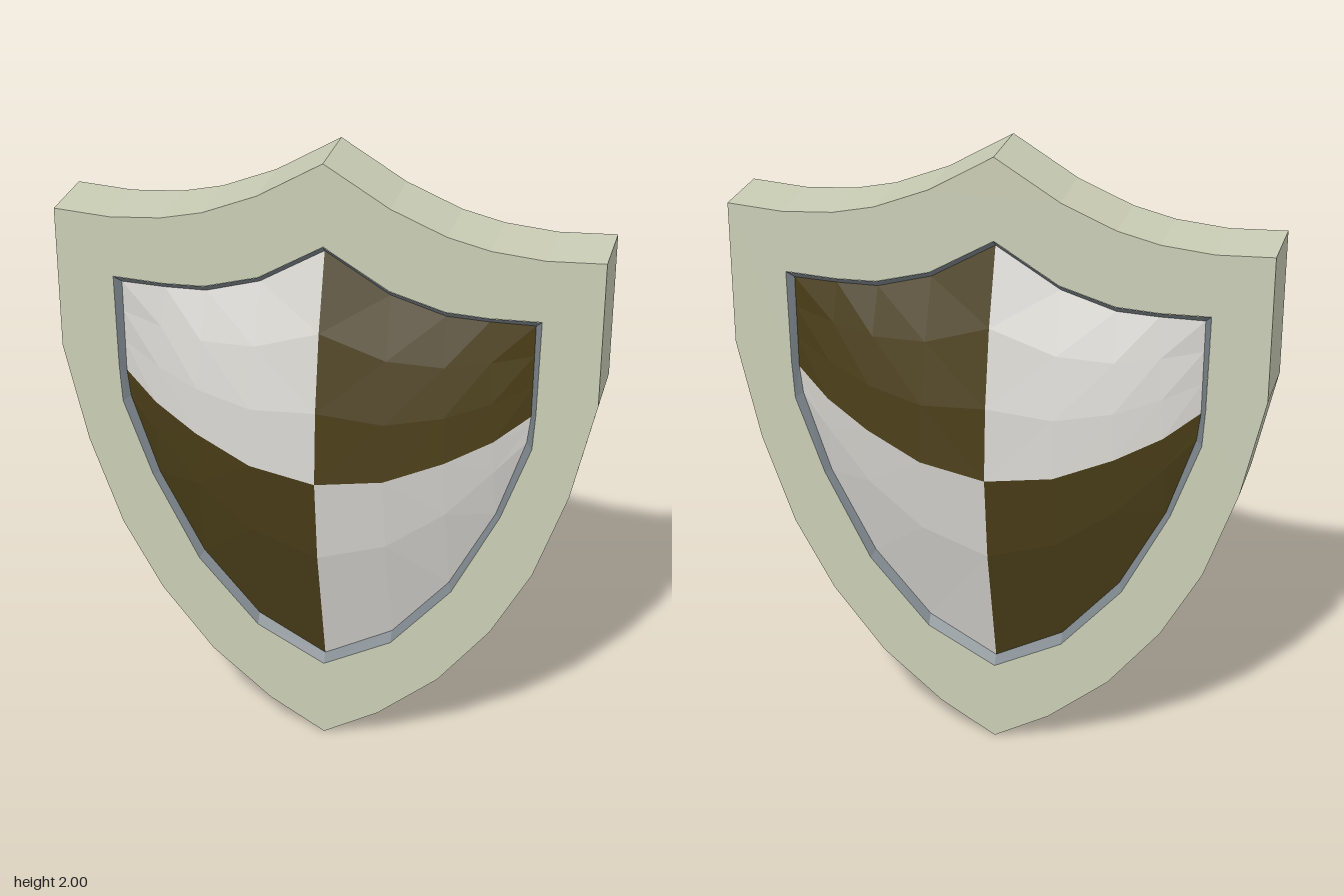
import * as THREE from 'three';

const HALF_DEPTH = 0.11; // half thickness of the frame
const EDGE_Z = 0.09;     // where the panels meet the rim
const DOME = 0.135;      // how far the panels bulge beyond their edge

// Right halves of the outlines, from top centre round to bottom centre
const frameEdge = [[0, 2], [0.2, 1.88], [0.37, 1.81], [0.5, 1.78], [0.66, 1.767], [0.835, 1.777],
  [0.835, 1.32], [0.765, 1], [0.665, 0.71], [0.54, 0.48], [0.375, 0.27], [0.18, 0.105], [0, 0]];
const holeEdge = [[0, 1.74], [0.2, 1.62], [0.37, 1.572], [0.5, 1.567], [0.657, 1.573],
  [0.652, 1.27], [0.645, 1.15], [0.557, 0.9], [0.412, 0.61], [0.22, 0.387], [0, 0.27]];
const panelTop = [[0, 1.72], [0.2, 1.6], [0.37, 1.55], [0.5, 1.547], [0.637, 1.55]];
const panelMiddle = [[0, 1], [0.21, 1.03], [0.39, 1.1], [0.53, 1.17], [0.635, 1.25]];
const panelBottom = [[0, 0.3], [0.22, 0.42], [0.4, 0.63], [0.54, 0.9], [0.625, 1.16]];
const panelEdge = [...panelTop, panelMiddle[4], ...[...panelBottom].reverse()];

const paint = (color) => new THREE.MeshStandardMaterial({ color, flatShading: true });

// Completes a half outline with its mirror image
const mirrorLoop = (half) => [...half, ...half.slice(1, -1).reverse().map(([x, y]) => [-x, y])];

// Faceted surface through rows of [x, y, z] points
function surface(rows, flip) {
  const pos = [];
  for (let j = 0; j < rows.length - 1; j++) {
    for (let i = 0; i < rows[j].length - 1; i++) {
      const [a, b, c, d] = [rows[j][i], rows[j][i + 1], rows[j + 1][i + 1], rows[j + 1][i]];
      pos.push(...(flip ? [a, c, b, a, d, c] : [a, b, c, a, c, d]).flat());
    }
  }
  const geo = new THREE.BufferGeometry();
  geo.setAttribute('position', new THREE.Float32BufferAttribute(pos, 3));
  geo.computeVertexNormals();
  return geo;
}

// One domed quarter: sx picks the side, sz the front or back
function quarter(edge, steps, power, upper, sx, sz) {
  const rows = steps.map((v) => panelMiddle.map(([mx, my], i) => {
    const u = mx / 0.635;
    const z = EDGE_Z + DOME * (1 - u * u) * (1 - v ** power);
    return [sx * THREE.MathUtils.lerp(mx, edge[i][0], v), THREE.MathUtils.lerp(my, edge[i][1], v), sz * z];
  }));
  return surface(rows, sx * sz * (upper ? 1 : -1) < 0);
}

export function createModel() {
  const model = new THREE.Group();
  model.name = 'shield';
  const cream = paint(0xcacdb5), steel = paint(0x7d868c), white = paint(0xd6d4cf), brown = paint(0x4a3e18);

  const add = (name, geo, mat) => {
    const mesh = new THREE.Mesh(geo, mat);
    mesh.name = name;
    model.add(mesh);
  };

  // Thick frame with a shield-shaped opening
  const toPoints = (half) => mirrorLoop(half).map(([x, y]) => new THREE.Vector2(x, y));
  const shape = new THREE.Shape(toPoints(frameEdge));
  shape.holes.push(new THREE.Path(toPoints(holeEdge)));
  const frame = new THREE.ExtrudeGeometry(shape, { depth: 2 * HALF_DEPTH, bevelEnabled: false });
  frame.translate(0, 0, -HALF_DEPTH);
  add('frame', frame, cream);

  for (const [sz, face] of [[1, 'front'], [-1, 'back']]) {
    // Sloped rim between frame and panels
    const ring = (half, z) => {
      const loop = mirrorLoop(half).map(([x, y]) => [x, y, sz * z]);
      return [...loop, loop[0]];
    };
    add(face + 'Rim', surface([ring(panelEdge, EDGE_Z), ring(holeEdge, HALF_DEPTH + 0.001)], sz < 0), steel);

    // Four domed quarters in alternating colours
    for (const [sx, side] of [[1, 'Left'], [-1, 'Right']]) {
      add(face + 'Upper' + side + 'Panel',
        quarter(panelTop, [0, 0.33, 0.67, 1], 2, true, sx, sz), sx > 0 ? brown : white);
      add(face + 'Lower' + side + 'Panel',
        quarter(panelBottom, [0, 0.4, 1], 1.5, false, sx, sz), sx > 0 ? white : brown);
    }
  }
  return model;
}
